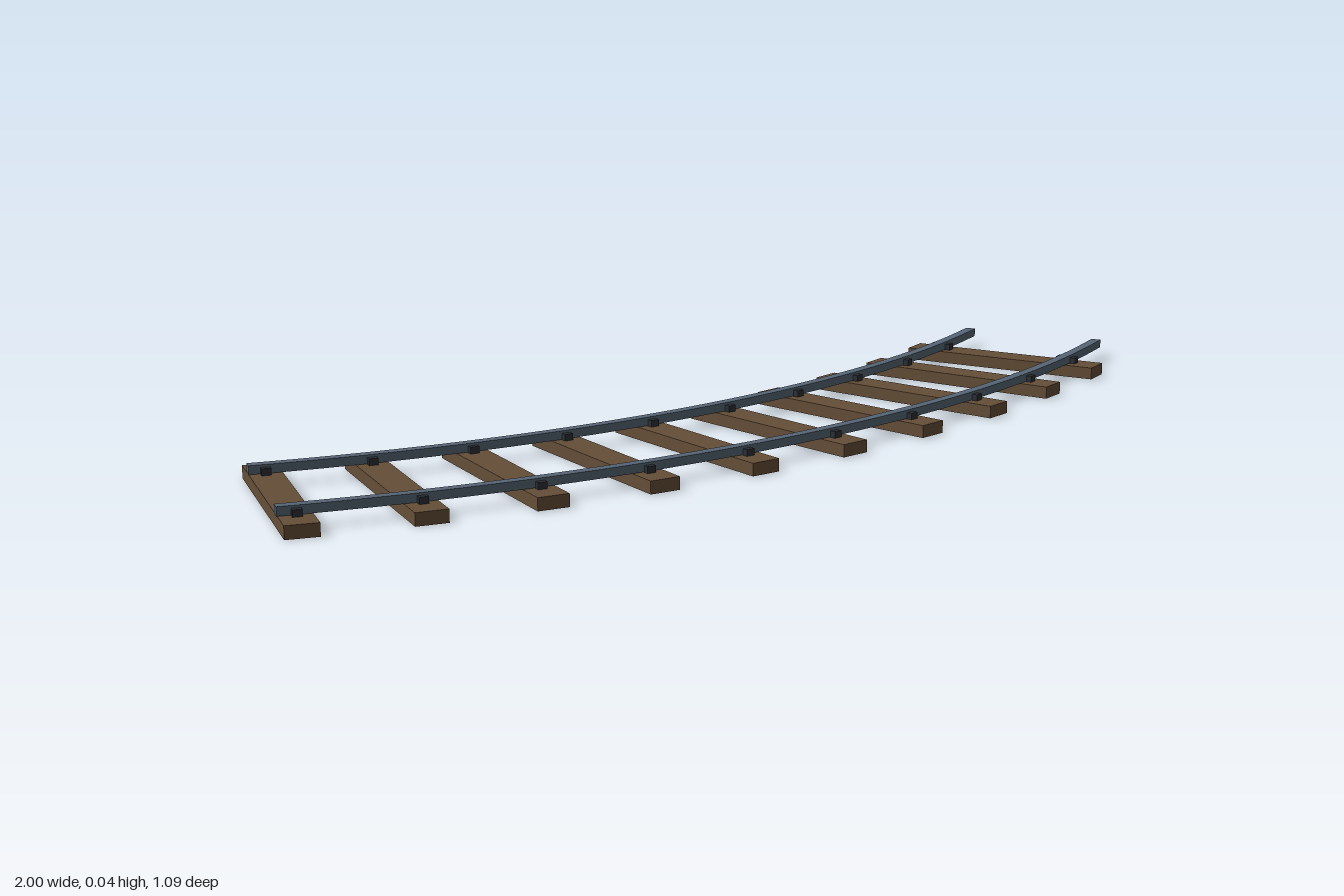
import * as THREE from 'three';

const wood = new THREE.MeshStandardMaterial({ name: 'wood', color: 0x654e38 });
const steel = new THREE.MeshStandardMaterial({ name: 'steel', color: 0x566575 });
const iron = new THREE.MeshStandardMaterial({ name: 'darkIron', color: 0x2b2f36 });

const rad = THREE.MathUtils.degToRad;
const CX = -0.968, CZ = -2.333;   // centre of the curve
const R = 2.655, GAUGE = 0.3;     // centre line radius and rail spacing
const radii = { innerRail: R - GAUGE / 2, outerRail: R + GAUGE / 2 };
const TIES = 10, STEP = rad(4.5);

// Rail: a thin ring sector extruded upwards
function makeRail(name, r) {
  const w = 0.0105, a0 = rad(-90.7), a1 = rad(-45.7);
  const shape = new THREE.Shape();
  shape.absarc(CX, -CZ, r + w, a0, a1, false);
  shape.absarc(CX, -CZ, r - w, a1, a0, true);
  const geo = new THREE.ExtrudeGeometry(shape, { depth: 0.017, bevelEnabled: false, curveSegments: 20 });
  geo.rotateX(-Math.PI / 2);
  const mesh = new THREE.Mesh(geo, steel);
  mesh.name = name;
  mesh.position.y = 0.026;
  return mesh;
}

// Places a box on the curve, turned to face the centre
function placeBox(name, geo, material, r, angle, y) {
  const mesh = new THREE.Mesh(geo, material);
  mesh.name = name;
  mesh.position.set(CX + r * Math.sin(angle), y, CZ + r * Math.cos(angle));
  mesh.rotation.y = angle - rad(0.4);
  return mesh;
}

export function createModel() {
  const group = new THREE.Group();
  group.name = 'curvedTrack';

  for (const [name, r] of Object.entries(radii)) group.add(makeRail(name, r));

  // Ties, each with a fastener under both rails
  const tieGeo = new THREE.BoxGeometry(0.062, 0.025, 0.44);
  const clipGeo = new THREE.BoxGeometry(0.018, 0.016, 0.044);
  for (let i = 0; i < TIES; i++) {
    const a = i * STEP;
    group.add(placeBox('tie', tieGeo, wood, R, a, 0.0125));
    for (const r of Object.values(radii)) group.add(placeBox('fastener', clipGeo, iron, r, a, 0.03));
  }
  return group;
}
